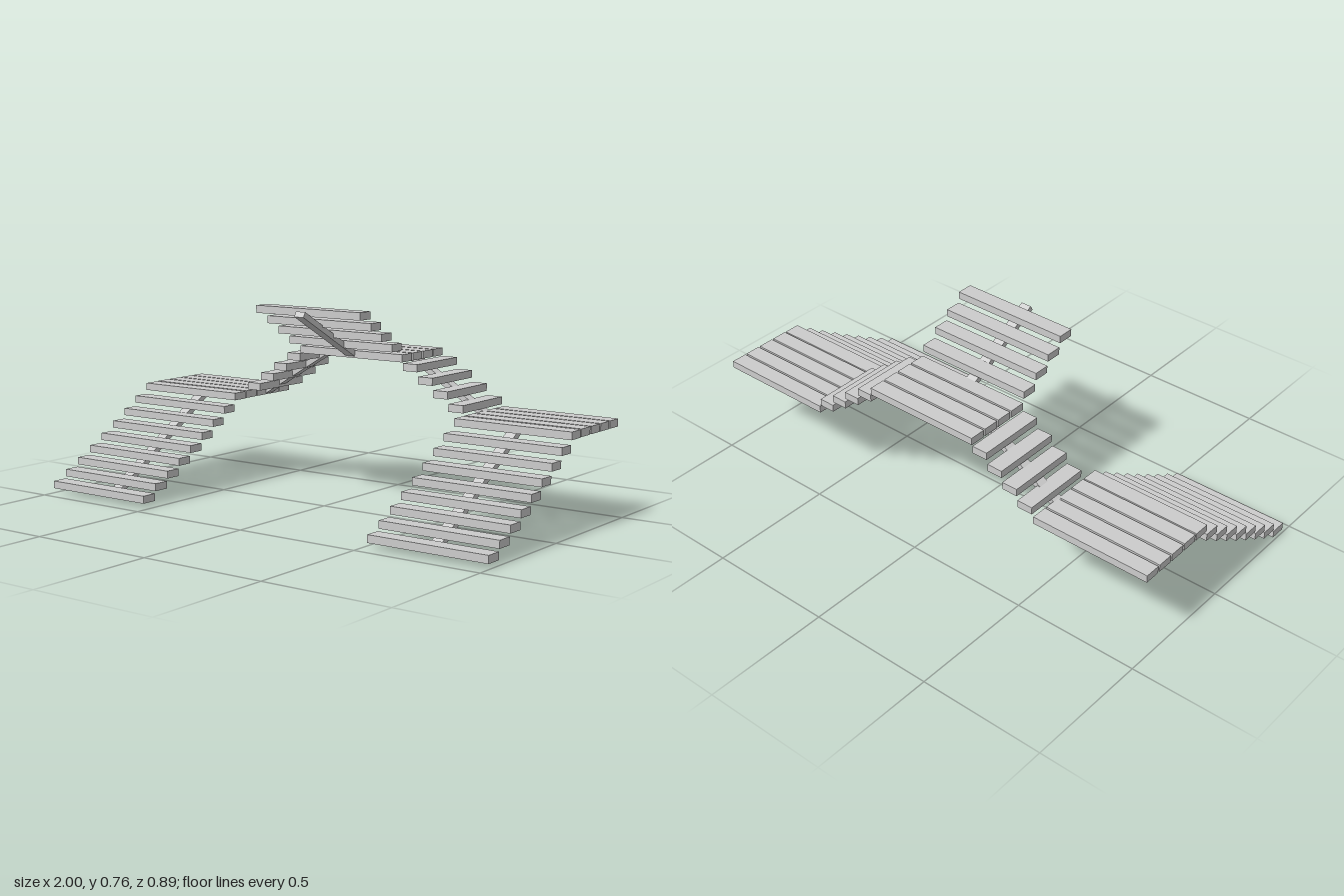
import * as THREE from 'three';

const PLANK = 0.064;   // plank depth
const THICK = 0.029;   // plank thickness
const WIDTH = 0.482;   // stair and platform width
const BACK_Z = -0.307; // middle of the platforms

export function createModel() {
  const root = new THREE.Group();
  const mat = new THREE.MeshStandardMaterial({ color: 0xcccccc, flatShading: true });

  const group = (name, parent = root) => {
    const g = new THREE.Group();
    g.name = name;
    parent.add(g);
    return g;
  };
  const box = (parent, name, size, pos) => {
    const m = new THREE.Mesh(new THREE.BoxGeometry(...size), mat);
    m.name = name;
    m.position.set(...pos);
    parent.add(m);
    return m;
  };
  // Sloping support beam between two points
  const stringer = (parent, from, to) => {
    const a = new THREE.Vector3(...from), b = new THREE.Vector3(...to);
    const m = box(parent, 'stringer', [0.043, 0.022, a.distanceTo(b)], [0, 0, 0]);
    m.position.addVectors(a, b).multiplyScalar(0.5);
    m.lookAt(b);
  };
  // Flat landing of four planks
  const platform = (parent, name, x, y) => {
    const g = group(name, parent);
    for (let i = 0; i < 4; i++) {
      box(g, 'platformPlank', [WIDTH, THICK, PLANK], [x, y, -0.199 - i * 0.0717]);
    }
  };

  for (const s of [1, -1]) {
    const side = s > 0 ? 'left' : 'right';

    // Lower flight, rising towards the back and steepening slightly
    const lower = group(side + 'LowerFlight');
    for (let i = 0; i < 9; i++) {
      box(lower, 'tread', [WIDTH, THICK, PLANK],
        [s * 0.759, 0.036 + 0.0363 * i + 0.0006 * i * i, 0.416 - 0.068 * i]);
    }
    stringer(lower, [s * 0.742, 0.012, 0.382], [s * 0.742, 0.364, -0.175]);

    platform(root, side + 'LowerPlatform', s * 0.759, 0.366);

    // Side flight, rising inwards to the upper platform
    const flight = group(side + 'SideFlight');
    for (let i = 0; i < 4; i++) {
      box(flight, 'tread', [PLANK, THICK, 0.278],
        [s * (0.479 - 0.0677 * i), 0.402 + 0.0453 * i, BACK_Z]);
    }
    stringer(flight, [s * 0.525, 0.365, -0.315], [s * 0.185, 0.567, -0.315]);
  }

  platform(root, 'upperPlatform', 0, 0.57);

  // Upper flight, rising forwards from the upper platform
  const upper = group('upperFlight');
  for (let i = 0; i < 4; i++) {
    box(upper, 'tread', [WIDTH, THICK, PLANK], [0, 0.615 + 0.045 * i, -0.13 + 0.068 * i]);
  }
  stringer(upper, [0, 0.57, -0.175], [0, 0.747, 0.15]);

  return root;
}
